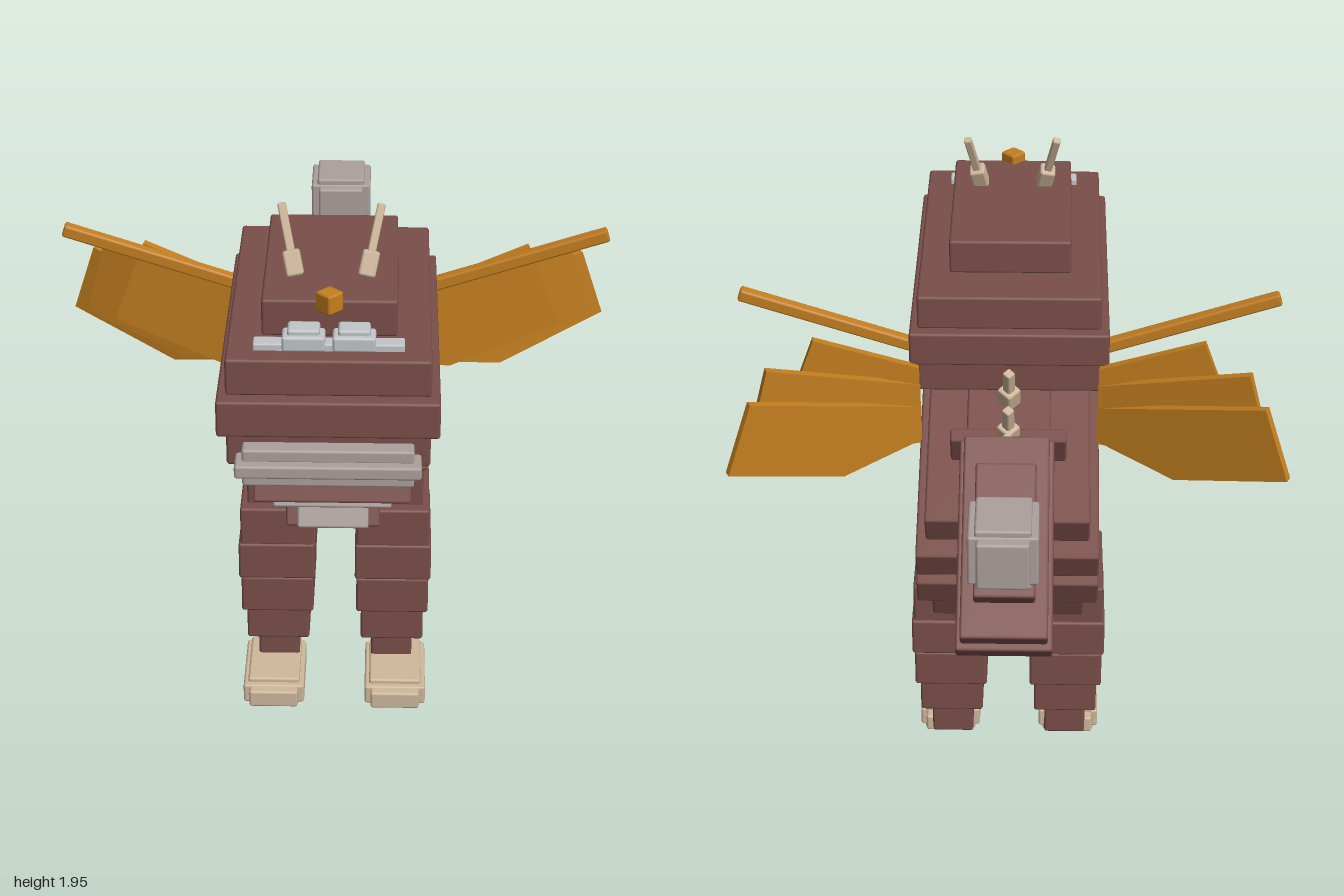
import * as THREE from 'three';
import { RoundedBoxGeometry } from 'three/addons/geometries/RoundedBoxGeometry.js';

const paint = (name, color) => {
  const m = new THREE.MeshStandardMaterial({ color });
  m.name = name;
  return m;
};

export function createModel() {
  const hide = paint('brown hide', 0x7a4f4a);
  const orange = paint('orange', 0xc47f20);
  const grey = paint('pale grey', 0xaca19d);
  const bone = paint('beige bone', 0xd0b89c);
  const eyeWhite = paint('eye white', 0xc3c7ca);

  const model = new THREE.Group();
  model.name = 'creature';

  const group = (name, parent = model) => {
    const g = new THREE.Group();
    g.name = name;
    parent.add(g);
    return g;
  };
  // Slightly bevelled box given by its ranges on each axis
  const box = (parent, name, mat, [x0, x1], [y0, y1], [z0, z1]) => {
    const w = x1 - x0, h = y1 - y0, d = z1 - z0;
    const r = Math.min(0.008, Math.min(w, h, d) * 0.2);
    const mesh = new THREE.Mesh(new RoundedBoxGeometry(w, h, d, 1, r), mat);
    mesh.position.set((x0 + x1) / 2, (y0 + y1) / 2, (z0 + z1) / 2);
    mesh.name = name;
    parent.add(mesh);
    return mesh;
  };
  // Stack of layers centred on x: [halfWidth, y0, y1, z0, z1]
  const stack = (parent, name, mat, layers) => layers.forEach(([hw, y0, y1, z0, z1]) =>
    box(parent, name, mat, [-hw, hw], [y0, y1], [z0, z1]));

  // Head, jaw and face
  const head = group('head');
  stack(head, 'headLayer', hide, [
    [0.19, 1.65, 1.76, 0.18, 0.77],
    [0.285, 1.54, 1.65, 0.02, 0.92],
    [0.31, 1.43, 1.54, -0.015, 0.96],
    [0.285, 1.32, 1.43, 0.02, 0.92],
    [0.19, 1.21, 1.32, 0.18, 0.77],
  ]);
  stack(head, 'jaw', grey, [
    [0.24, 1.355, 1.395, 0.25, 0.97],
    [0.26, 1.32, 1.36, 0.25, 1.0],
    [0.24, 1.28, 1.32, 0.25, 0.97],
    [0.16, 1.24, 1.28, 0.3, 0.87],
  ]);
  box(head, 'noseStud', orange, [-0.029, 0.029], [1.73, 1.79], [0.741, 0.799]).rotation.y = Math.PI / 4;
  box(head, 'browPlate', eyeWhite, [-0.21, 0.21], [1.645, 1.67], [0.81, 0.86]);
  for (const s of [1, -1]) {
    const eye = group('eye', head);
    eye.position.set(s * 0.07, 0, 0);
    box(eye, 'eyeball', eyeWhite, [-0.06, 0.06], [1.65, 1.695], [0.8, 0.87]);
    box(eye, 'eyeball', eyeWhite, [-0.045, 0.045], [1.65, 1.71], [0.79, 0.855]);
  }

  // Horn or spike: thick base with a thin post
  const spike = (name, parent, base, post, length) => {
    const g = group(name, parent);
    box(g, name + 'Base', bone, [-base / 2, base / 2], [0, 0.075], [-base / 2, base / 2]);
    box(g, name + 'Tip', bone, [-post / 2, post / 2], [0.06, length], [-post / 2, post / 2]);
    return g;
  };
  for (const s of [1, -1]) {
    const horn = spike('horn', head, 0.05, 0.024, 0.21);
    horn.position.set(s * 0.1, 1.755, 0.6);
    horn.rotation.set(-0.38, 0, -s * 0.2);
  }

  // Body layers, leaning with the chest raised
  const body = group('body');
  body.position.set(0, 1.02, 0.06);
  body.rotation.x = -0.4;
  stack(body, 'bodyLayer', hide, [
    [0.13, 0.2, 0.29, -0.22, 0.28],
    [0.255, 0.09, 0.2, -0.35, 0.36],
    [0.285, -0.02, 0.09, -0.41, 0.43],
    [0.285, -0.13, -0.02, -0.44, 0.43],
    [0.24, -0.24, -0.13, -0.42, 0.367],
    [0.145, -0.33, -0.22, -0.3, 0.244],
  ]);
  stack(body, 'bellyPlate', grey, [
    [0.21, -0.17, -0.13, 0.0, 0.4],
    [0.18, -0.255, -0.22, -0.08, 0.36],
    [0.11, -0.335, -0.24, -0.22, 0.252],
  ]);
  box(body, 'backBar', hide, [-0.18, 0.18], [0.2, 0.31], [-0.125, -0.075]);
  for (const z of [-0.2, -0.1, 0.04]) {
    const s = spike('backSpike', body, 0.055, 0.03, 0.16);
    s.position.set(0, 0.28, z);
    s.rotation.y = Math.PI / 4;
  }

  // Legs and feet
  for (const s of [1, -1]) {
    const leg = group(s > 0 ? 'leftLeg' : 'rightLeg');
    const part = (name, mat, x0, x1, y, z) =>
      box(leg, name, mat, s > 0 ? [x0, x1] : [-x1, -x0], y, z);
    part('thigh', hide, 0.1, 0.283, [0.69, 0.84], [-0.155, 0.11]);
    part('upperLeg', hide, 0.07, 0.305, [0.575, 0.71], [-0.19, 0.15]);
    part('knee', hide, 0.065, 0.312, [0.45, 0.58], [-0.2, 0.155]);
    part('lowerLeg', hide, 0.07, 0.305, [0.32, 0.45], [-0.195, 0.15]);
    part('shin', hide, 0.085, 0.29, [0.195, 0.32], [-0.17, 0.12]);
    part('ankle', hide, 0.12, 0.255, [0.06, 0.195], [-0.115, 0.07]);
    part('foot', bone, 0.1, 0.3, [0.018, 0.085], [-0.03, 0.24]);
    part('foot', bone, 0.115, 0.285, [0, 0.1], [-0.03, 0.22]);
    part('foot', bone, 0.12, 0.28, [0.02, 0.08], [-0.065, 0.27]);
  }

  // Wings: a straight rail with three feather plates fanned backwards
  const feathers = [
    [Math.atan2(0.06, 0.41), [0.28, 1.43, 0.6, 1.55, 0.7, 1.28, 0.36, 1.15, 0.28, 1.16]],
    [Math.atan2(0.17, 0.49), [0.28, 1.37, 0.735, 1.505, 0.8, 1.25, 0.48, 1.14, 0.28, 1.17]],
    [Math.atan2(0.28, 0.56), [0.28, 1.29, 0.78, 1.44, 0.855, 1.21, 0.52, 1.105, 0.28, 1.17]],
  ];
  for (const s of [1, -1]) {
    const wing = group(s > 0 ? 'leftWing' : 'rightWing');
    const rail = box(wing, 'wingRail', orange, [-0.35, 0.35], [-0.02, 0.02], [-0.02, 0.02]);
    rail.position.set(s * 0.5, 1.535, 0.05);
    rail.rotation.z = s * 0.317;
    for (const [yaw, pts] of feathers) {
      const outline = [];
      for (let i = 0; i < pts.length; i += 2) {
        outline.push(new THREE.Vector2(s * (pts[i] - 0.28) / Math.cos(yaw), pts[i + 1]));
      }
      const geo = new THREE.ExtrudeGeometry(new THREE.Shape(outline), { depth: 0.026, bevelEnabled: false });
      geo.translate(0, 0, -0.013);
      const plate = new THREE.Mesh(geo, orange);
      plate.name = 'feather';
      plate.position.set(s * 0.28, 0, -0.02);
      plate.rotation.y = s * yaw;
      wing.add(plate);
    }
  }

  // Tail slabs and the floating tail tip
  const tail = group('tail');
  tail.position.set(0, 1.14, -0.59);
  tail.rotation.x = -0.608;
  stack(tail, 'tailLayer', hide, [
    [0.09, 0.084, 0.14, -0.2, 0.22],
    [0.128, 0.028, 0.084, -0.306, 0.33],
    [0.142, -0.028, 0.028, -0.325, 0.34],
    [0.128, -0.084, -0.028, -0.306, 0.33],
    [0.09, -0.14, -0.084, -0.2, 0.25],
  ]);
  stack(group('tailTip'), 'tipBlock', grey, [
    [0.1, 1.28, 1.44, -0.97, -0.78],
    [0.075, 1.285, 1.435, -1.0, -0.75],
    [0.08, 1.26, 1.458, -0.965, -0.785],
  ]);

  return model;
}
